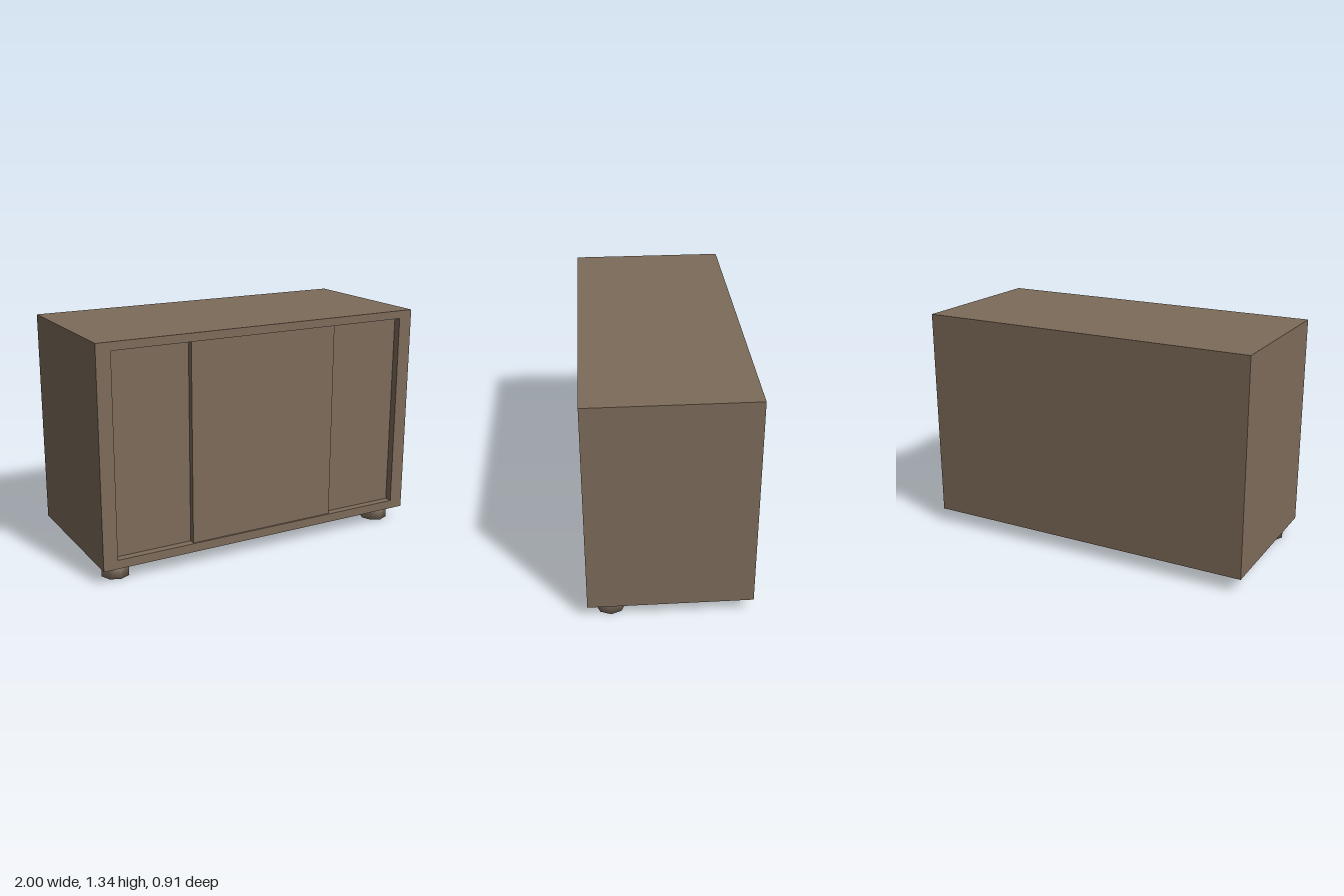
import * as THREE from 'three';
import { mergeVertices } from 'three/addons/utils/BufferGeometryUtils.js';

const W = 2, D = 0.914, BOTTOM = 0.086, TOP = 1.335;   // cabinet body
const OPEN_X = 0.917, OPEN_Y0 = 0.137, OPEN_Y1 = 1.288; // front opening
const DOOR_X = 0.457;                                   // half width of centre door
const FRAME = 0.055;                                    // depth of face frame

export function createModel() {
  const group = new THREE.Group();
  const wood = new THREE.MeshStandardMaterial({ color: 0x7d6b5a });
  wood.name = 'brown wood';

  const add = (name, geometry, x = 0, y = 0, z = 0) => {
    const mesh = new THREE.Mesh(geometry, wood);
    mesh.name = name;
    mesh.position.set(x, y, z);
    group.add(mesh);
  };

  // Solid carcass behind the face frame
  const backDepth = D - FRAME;
  const frameZ = D / 2 - FRAME;
  add('carcass', new THREE.BoxGeometry(W, TOP - BOTTOM, backDepth), 0, (TOP + BOTTOM) / 2, -FRAME / 2);

  // Face frame around the opening
  const rectangle = (target, x, y0, y1) =>
    target.moveTo(-x, y0).lineTo(x, y0).lineTo(x, y1).lineTo(-x, y1).closePath();
  const outline = rectangle(new THREE.Shape(), W / 2, BOTTOM, TOP);
  outline.holes.push(rectangle(new THREE.Path(), OPEN_X, OPEN_Y0, OPEN_Y1));
  add('faceFrame', new THREE.ExtrudeGeometry(outline, { depth: FRAME, bevelEnabled: false }), 0, 0, frameZ);

  // Centre door sits just behind the frame front, side panels lie deeper
  const openH = OPEN_Y1 - OPEN_Y0, openY = (OPEN_Y0 + OPEN_Y1) / 2;
  const doorDepth = FRAME - 0.01, panelDepth = 0.01, panelW = OPEN_X - DOOR_X;
  add('centreDoor', new THREE.BoxGeometry(DOOR_X * 2, openH, doorDepth), 0, openY, frameZ + doorDepth / 2);

  // Short octagonal front feet with softly blended normals
  let foot = new THREE.CylinderGeometry(0.082, 0.082, BOTTOM, 8);
  foot.deleteAttribute('normal');
  foot.deleteAttribute('uv');
  foot = mergeVertices(foot);
  foot.computeVertexNormals();

  for (const [side, s] of [['left', 1], ['right', -1]]) {
    add(side + 'Panel', new THREE.BoxGeometry(panelW, openH, panelDepth),
      s * (DOOR_X + panelW / 2), openY, frameZ + panelDepth / 2);
    add(side + 'FrontFoot', foot, s * 0.883, BOTTOM / 2, 0.328);
  }
  return group;
}
